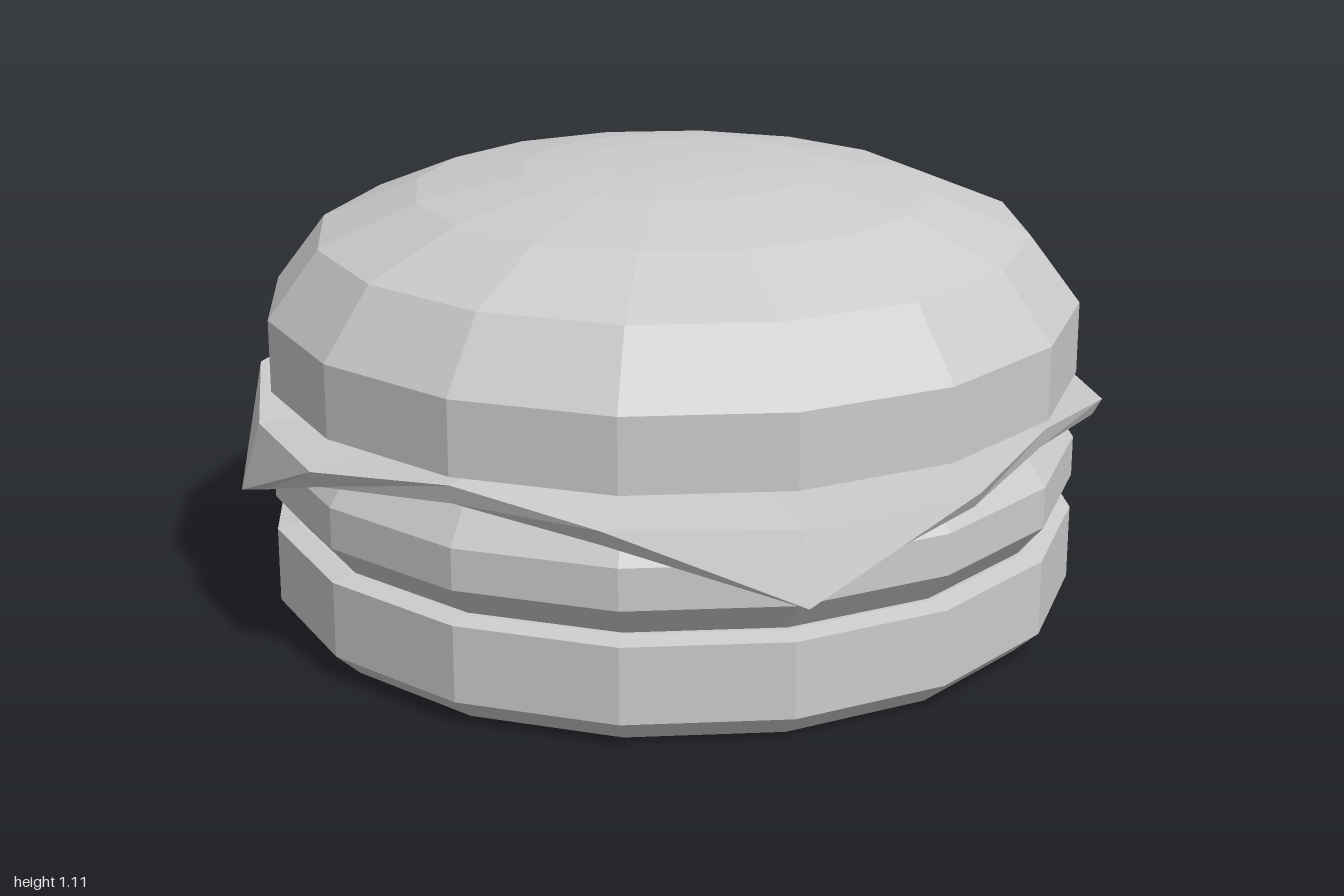
import * as THREE from 'three';

const material = new THREE.MeshStandardMaterial({ color: 0xcccccc, flatShading: true });

// Low-poly round layer from a bottom-to-top [radius, y] profile
function layer(name, profile) {
  const points = profile.map(([r, y]) => new THREE.Vector2(r, y));
  const mesh = new THREE.Mesh(new THREE.LatheGeometry(points, 16), material);
  mesh.name = name;
  return mesh;
}

// Square slice with clipped sides whose four corners fold down
function cheeseSlice() {
  const positions = [];
  const turn = ([x, y, z], q) => {
    for (let i = 0; i < q; i++) [x, z] = [z, -x];
    return [x, y, z];
  };
  const tri = (q, ...corners) => corners.forEach((p) => positions.push(...turn(p, q)));

  // One quarter: middle of edge, edge end, fold, drooping tip, edge end, next middle
  const quarter = (centreY, mid, side, fold, tip) => ({
    c: [0, centreY, 0],
    m: [0, mid[1], mid[0]],
    a: [side[0], side[2], side[1]],
    f: [fold[0], fold[1], fold[0]],
    t: [tip[0], tip[1], tip[0]],
    b: [side[1], side[2], side[0]],
    n: [mid[0], mid[1], 0],
  });
  const top = quarter(0.58, [0.995, 0.575], [0.38, 0.995, 0.54], [0.73, 0.52], [0.765, 0.355]);
  const under = quarter(0.535, [0.985, 0.53], [0.37, 0.975, 0.5], [0.69, 0.485], [0.725, 0.35]);
  const faces = ['cma', 'caf', 'cfb', 'cbn', 'atf', 'ftb'];
  const rim = ['ma', 'at', 'tb', 'bn'];

  for (let q = 0; q < 4; q++) {
    for (const [i, j, k] of faces) {
      tri(q, top[i], top[j], top[k]);
      tri(q, under[i], under[k], under[j]);
    }
    for (const [i, j] of rim) {
      tri(q, top[i], under[i], top[j]);
      tri(q, top[j], under[i], under[j]);
    }
  }
  const geometry = new THREE.BufferGeometry();
  geometry.setAttribute('position', new THREE.Float32BufferAttribute(positions, 3));
  geometry.computeVertexNormals();
  const mesh = new THREE.Mesh(geometry, material);
  mesh.name = 'cheeseSlice';
  return mesh;
}

export function createModel() {
  const group = new THREE.Group();
  group.name = 'burger';
  group.add(
    layer('bottomBun', [[0, 0], [0.935, 0], [1, 0.06], [1, 0.245], [0.95, 0.255], [0, 0.255]]),
    layer('patty', [[0, 0.25], [0.935, 0.25], [1, 0.33], [1, 0.43], [0.935, 0.525], [0, 0.525]]),
    cheeseSlice(),
    layer('topBun', [
      [0, 0.582], [0.95, 0.582], [1, 0.597], [1, 0.775], [0.875, 0.94],
      [0.635, 1.04], [0.365, 1.09], [0.21, 1.103], [0, 1.105],
    ]),
  );
  return group;
}
